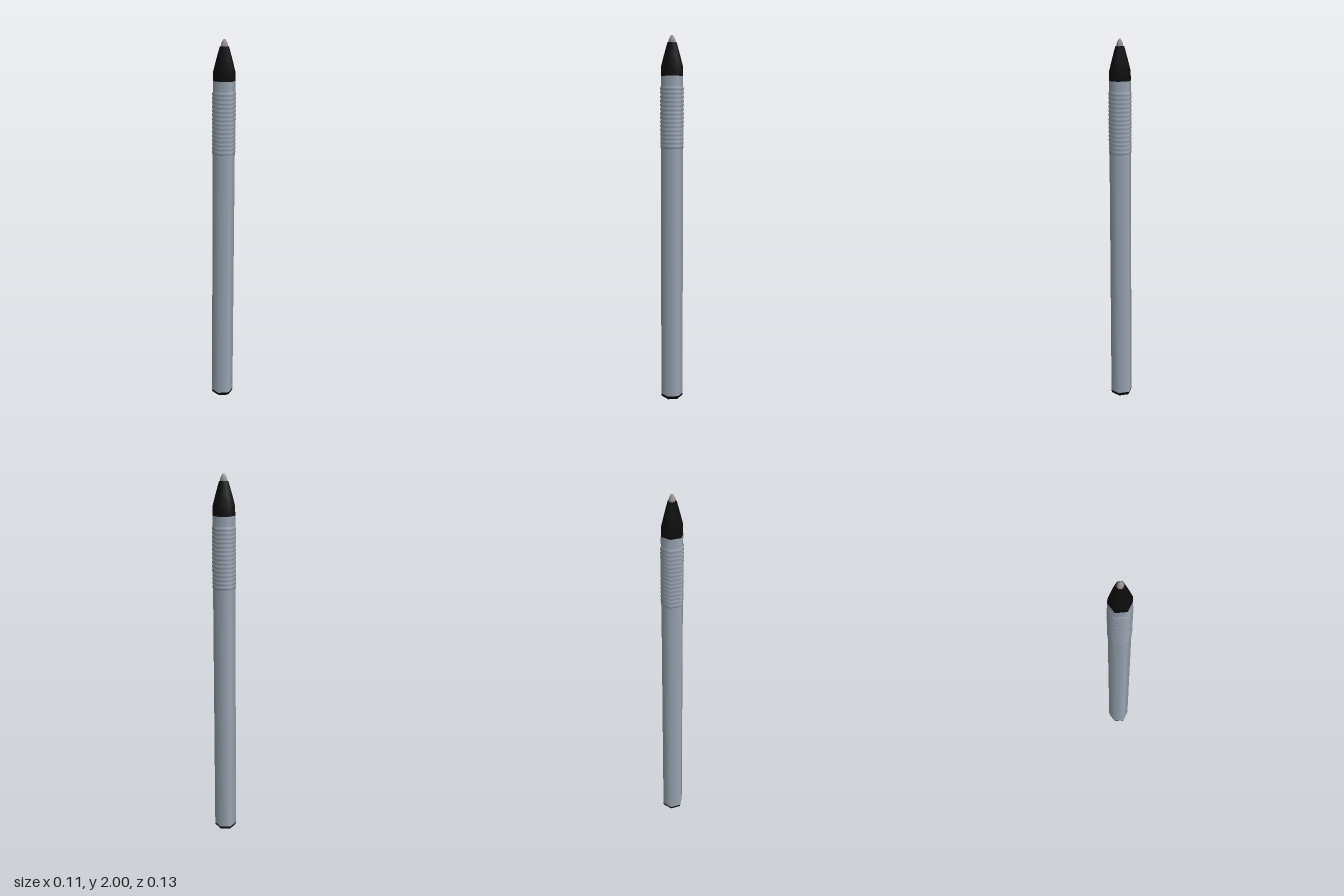
import * as THREE from 'three';

const SIDES = 6;

// Six-sided lathe; profile is a list of [radius, height], repeated points keep an edge sharp
function hexPart(name, color, profile) {
  const points = profile.map(([r, y]) => new THREE.Vector2(r, y));
  const mesh = new THREE.Mesh(
    new THREE.LatheGeometry(points, SIDES),
    new THREE.MeshStandardMaterial({ color })
  );
  mesh.name = name;
  return mesh;
}

export function createModel() {
  const pen = new THREE.Group();
  pen.name = 'pen';

  const black = 0x0c0c0c;
  const barrelGrey = 0x9aa5b2;
  const R = 0.06;

  // Chamfered end plug
  pen.add(hexPart('endPlug', black, [
    [0, 0], [0.049, 0], [0.049, 0], [0.058, 0.008], [R, 0.02], [R, 0.02], [0, 0.02],
  ]));

  // Long barrel
  pen.add(hexPart('barrel', barrelGrey, [[R, 0.02], [R, 1.4]]));

  // Ribbed grip, with a plain collar above it
  const ribs = 15, start = 1.4, end = 1.73;
  const pitch = (end - start) / ribs;
  const grip = [[R, start]];
  for (let i = 0; i < ribs; i++) {
    const y = start + i * pitch;
    grip.push([0.0635, y + pitch * 0.3], [0.0635, y + pitch * 0.7], [R, y + pitch]);
  }
  pen.add(hexPart('ribbedGrip', barrelGrey, grip));
  pen.add(hexPart('collar', barrelGrey, [
    [R, end], [R, 1.785], [R, 1.785], [0, 1.785],
  ]));

  // Tapered nose cone
  pen.add(hexPart('noseCone', black, [
    [0, 1.785], [0.0595, 1.785], [0.0595, 1.785], [0.0585, 1.835],
    [0.043, 1.895], [0.024, 1.962], [0.024, 1.962], [0, 1.962],
  ]));

  // Metal writing point
  pen.add(hexPart('writingPoint', 0x9a9292, [
    [0.018, 1.96], [0.018, 1.974], [0.011, 1.989], [0.005, 1.998], [0, 2],
  ]));

  // The pen leans very slightly
  pen.rotation.set(0.006, 0, -0.003);
  pen.position.set(-0.004, 0, -0.006);

  const model = new THREE.Group();
  model.add(pen);
  return model;
}
